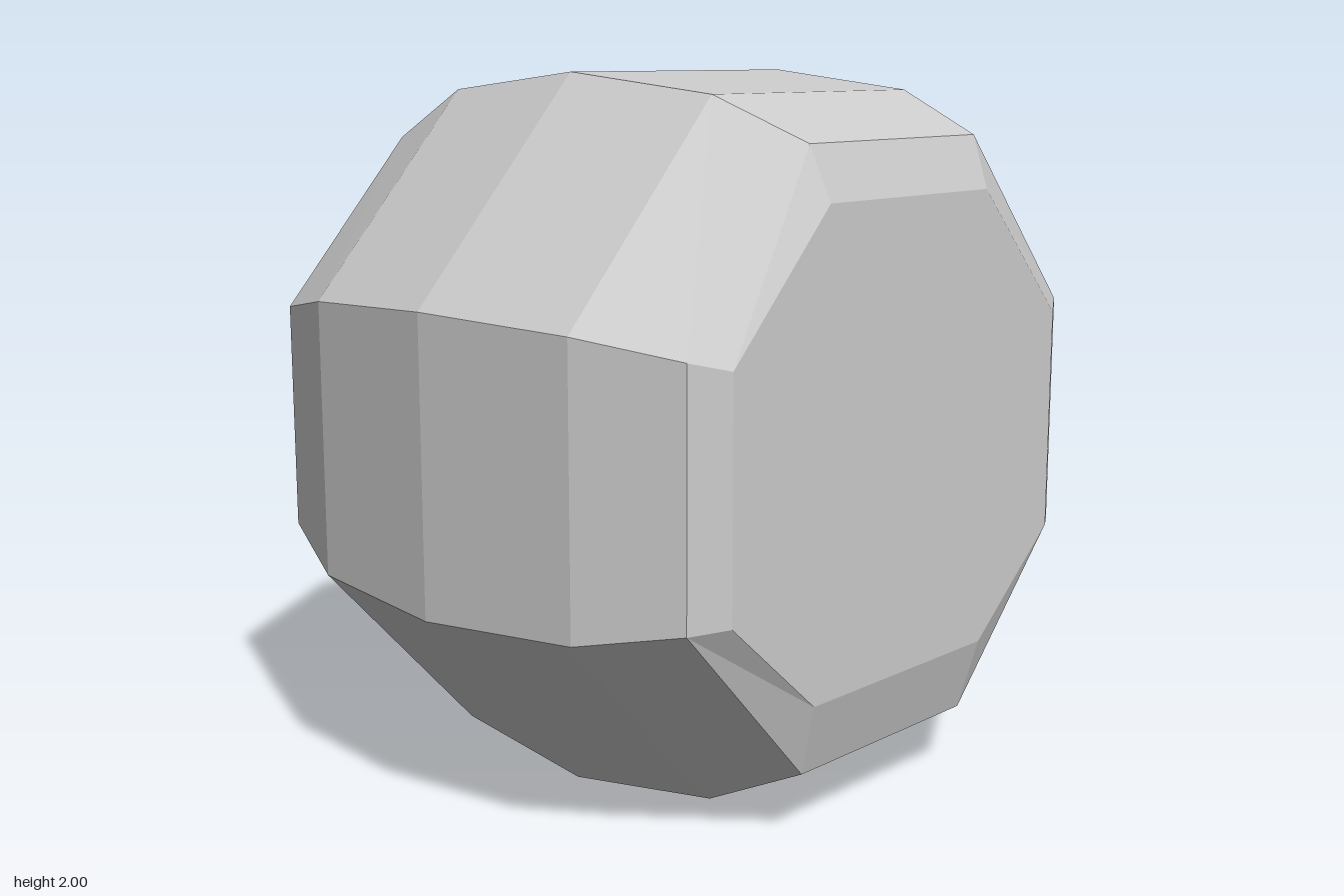
import * as THREE from 'three';

// Octagon corners, counterclockwise from the front: flat edges at top, bottom and sides
function octagon({ z, topX, top, bottom, sideX, high, low }) {
  return [
    [sideX, low], [sideX, high], [topX, top], [-topX, top],
    [-sideX, high], [-sideX, low], [-topX, bottom], [topX, bottom],
  ].map(([x, y]) => new THREE.Vector3(x, y, z));
}

// Faceted skin between successive rings, ordered front to back
function loft(rings) {
  const points = [];
  for (let r = 0; r < rings.length - 1; r++) {
    const front = rings[r], back = rings[r + 1];
    for (let i = 0; i < 8; i++) {
      const j = (i + 1) % 8;
      points.push(front[i], back[i], front[j], back[i], back[j], front[j]);
    }
  }
  return faceted(points);
}

// Flat octagonal end
function cap(ring) {
  const points = [];
  for (let i = 1; i < 7; i++) points.push(ring[0], ring[i], ring[i + 1]);
  return faceted(points);
}

function faceted(points) {
  const geometry = new THREE.BufferGeometry().setFromPoints(points);
  geometry.computeVertexNormals();
  return geometry;
}

export function createModel() {
  const group = new THREE.Group();
  group.name = 'barrel';
  const grey = new THREE.MeshStandardMaterial({ color: 0xcccccc });
  grey.name = 'light grey';

  const add = (name, geometry) => {
    const mesh = new THREE.Mesh(geometry, grey);
    mesh.name = name;
    group.add(mesh);
  };

  // Bulging cross-sections along z
  const rings = [
    { z: 0.76, topX: 0.36, top: 1.83, bottom: 0.187, sideX: 0.81, high: 1.336, low: 0.666 },
    { z: 0.485, topX: 0.413, top: 1.947, bottom: 0.06, sideX: 0.932, high: 1.384, low: 0.612 },
    { z: 0, topX: 0.437, top: 2, bottom: 0, sideX: 0.988, high: 1.405, low: 0.59 },
    { z: -0.485, topX: 0.413, top: 1.947, bottom: 0.06, sideX: 0.932, high: 1.384, low: 0.612 },
    { z: -0.818, topX: 0.35, top: 1.8, bottom: 0.215, sideX: 0.785, high: 1.326, low: 0.679 },
  ].map(octagon);

  // Slightly uneven rim of the front face
  const face = octagon({ z: 0.818, topX: 0.345, top: 1.685, bottom: 0.393, sideX: 0.71, high: 1.31, low: 0.675 });
  face[6].x = -0.385;
  face[7].x = 0.37;

  add('barrelBody', loft(rings));
  add('frontBevel', loft([face, rings[0]]));
  add('frontFace', cap(face));
  add('backFace', cap([...rings[4]].reverse()));
  return group;
}
